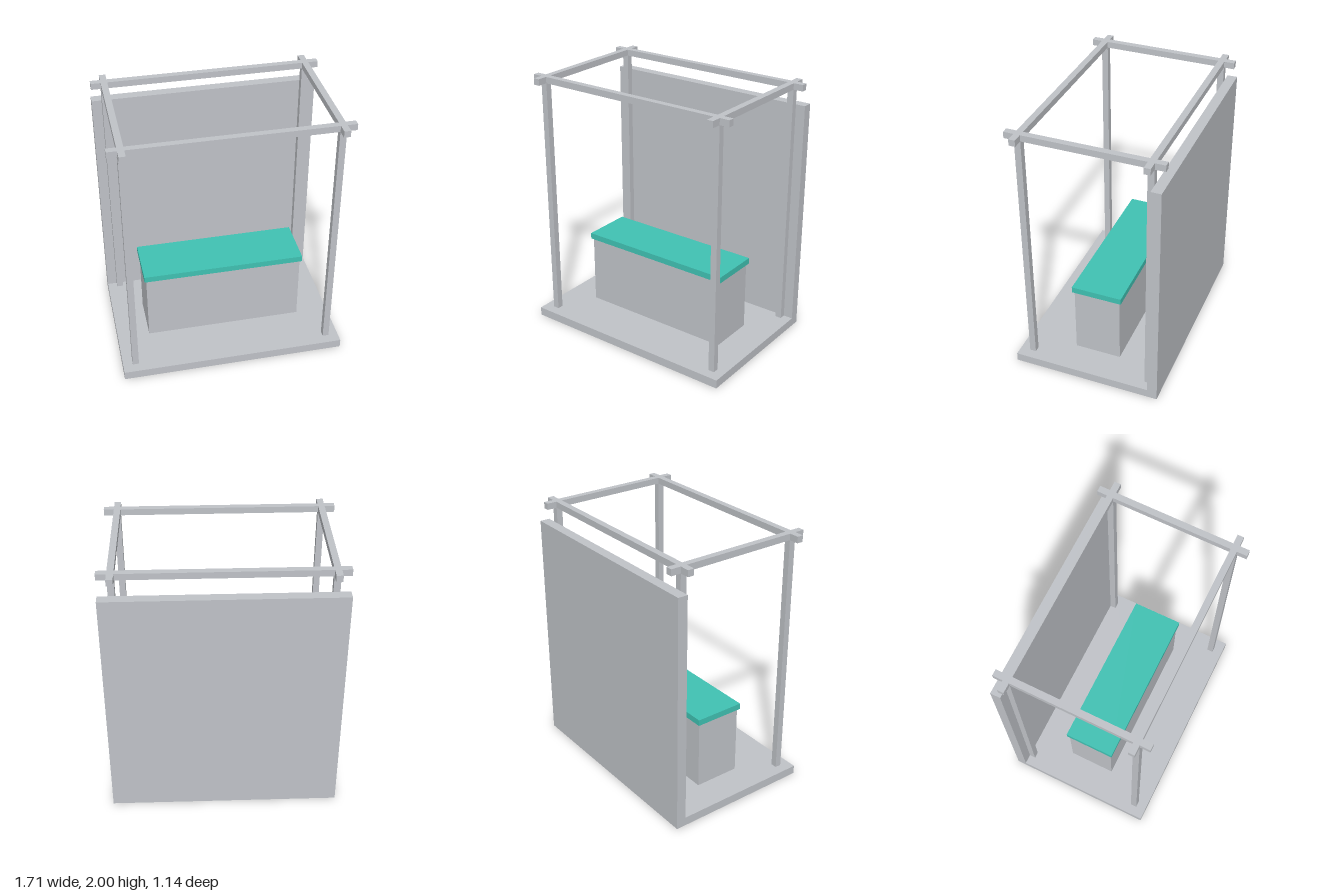
import * as THREE from 'three';

export function createModel() {
  const group = new THREE.Group();
  const grey = new THREE.MeshStandardMaterial({ color: 0xc0c3c8 });
  grey.name = 'light grey';
  const teal = new THREE.MeshStandardMaterial({ color: 0x40c2b3 });
  teal.name = 'teal';

  // Box given by its lower and upper corners
  function box(name, material, [x0, y0, z0], [x1, y1, z1]) {
    const mesh = new THREE.Mesh(new THREE.BoxGeometry(x1 - x0, y1 - y0, z1 - z0), material);
    mesh.position.set((x0 + x1) / 2, (y0 + y1) / 2, (z0 + z1) / 2);
    mesh.name = name;
    group.add(mesh);
  }

  const W = 0.857, D = 0.571;      // half width and half depth
  const floorY = 0.067, beamY = 1.952;
  const wallZ = -0.495;            // front face of the back wall
  const postX = 0.759, postZ = 0.471, h = 0.024; // post centres, half thickness

  // Floor and back wall
  box('floor', grey, [-W, 0, wallZ], [W, floorY, D]);
  box('backWall', grey, [-W, 0, -D], [W, 1.83, wallZ]);

  // Counter with overhanging top
  box('counterBody', grey, [-0.607, floorY, -0.18], [0.607, 0.61, 0.18]);
  box('counterTop', teal, [-0.622, 0.61, -0.195], [0.622, 0.657, 0.195]);

  // Corner posts
  for (const x of [-postX, postX]) {
    for (const z of [-postZ, postZ]) {
      box('post', grey, [x - h, floorY, z - h], [x + h, beamY, z + h]);
    }
  }

  // Long beams run the full width
  for (const z of [-postZ, postZ]) {
    box('longBeam', grey, [-W, beamY, z - h], [W, 2, z + h]);
  }

  // Side beams are let in flush between and beyond the long beams
  const spans = [[-D, -postZ - h], [-postZ + h, postZ - h], [postZ + h, D]];
  for (const x of [-postX, postX]) {
    for (const [z0, z1] of spans) {
      box('sideBeam', grey, [x - h, beamY, z0], [x + h, 2, z1]);
    }
  }

  return group;
}
